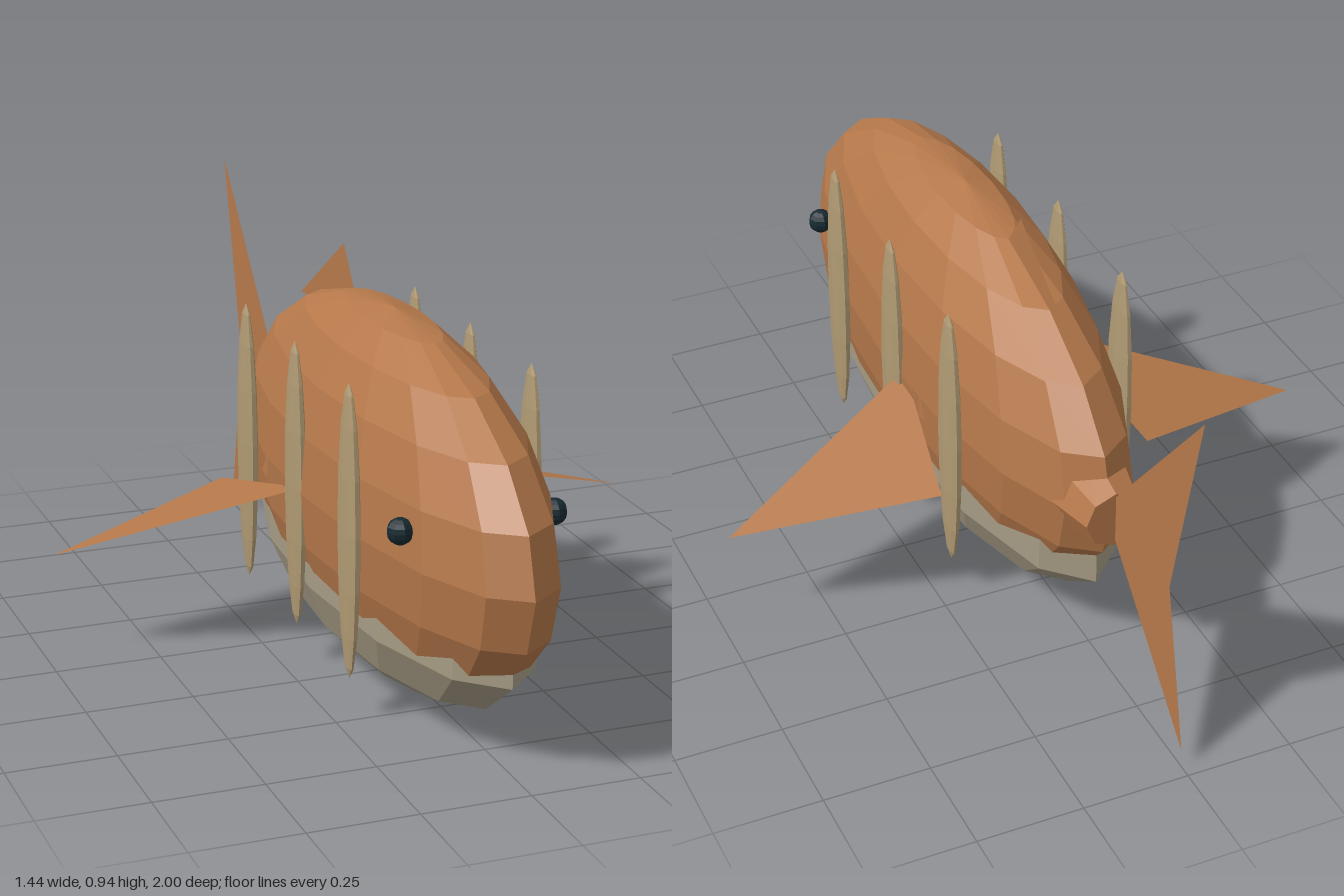
import * as THREE from 'three';

export function createModel() {
  const model = new THREE.Group();
  model.name = 'fish';

  const material = (name, color) => {
    const m = new THREE.MeshStandardMaterial({ color, flatShading: true, side: THREE.DoubleSide });
    m.name = name;
    return m;
  };
  const copper = material('copper skin', 0xb5784a);
  const cream = material('grey belly', 0xa59b84);
  const tan = material('tan stripe', 0xb09a73);
  const dark = material('dark eye', 0x182a32);

  const add = (name, geometry, mat) => {
    const mesh = new THREE.Mesh(geometry, mat);
    mesh.name = name;
    model.add(mesh);
    return mesh;
  };

  // faceted ellipsoid with its poles along y
  const ellipsoid = (name, mat, center, radii, around, rings) => {
    const g = new THREE.SphereGeometry(1, around, rings);
    g.scale(...radii);
    g.translate(...center);
    return add(name, g, mat);
  };

  // thin flat fin: a fan of triangles from the first corner
  const fin = (name, corners) => {
    const g = new THREE.BufferGeometry();
    g.setAttribute('position', new THREE.Float32BufferAttribute(corners.flat(), 3));
    const index = [];
    for (let i = 1; i < corners.length - 1; i++) index.push(0, i, i + 1);
    g.setIndex(index);
    g.computeVertexNormals();
    return add(name, g, copper);
  };

  // body and the belly that pokes out beneath it
  ellipsoid('body', copper, [0, 0.435, 0.2], [0.22, 0.42, 0.8], 16, 10);
  ellipsoid('belly', cream, [0, 0.256, 0.18], [0.2, 0.251, 0.73], 12, 7);

  // tail root and forked tail
  const root = new THREE.CylinderGeometry(0.105, 0.07, 0.14, 8);
  root.rotateX(Math.PI / 2);
  root.translate(0, 0.437, -0.55);
  add('tailRoot', root, copper);
  fin('tailFin', [[0, 0.435, -0.565], [0, 0.94, -1], [0, 0.44, -0.88], [0, 0.05, -0.965]]);

  // back fin
  fin('dorsalFin', [[0, 0.735, 0.02], [0, 0.925, -0.115], [0, 0.735, -0.41]]);

  for (const s of [1, -1]) {
    const side = s > 0 ? 'left' : 'right';

    // swept side fin with a small spur at its root
    fin(side + 'SideFin', [[s * 0.19, 0.425, 0.125], [s * 0.26, 0.335, -0.26], [s * 0.72, 0.25, -0.105]]);
    fin(side + 'FinSpur', [[s * 0.218, 0.465, -0.035], [s * 0.222, 0.41, -0.07], [s * 0.222, 0.4, -0.035]]);

    // three upright stripes
    [0.485, 0.14, -0.2].forEach((z, i) =>
      ellipsoid(side + 'Stripe' + (i + 1), tan, [s * 0.213, 0.44, z], [0.018, 0.34, 0.057], 10, 8));

    ellipsoid(side + 'Eye', dark, [s * 0.177, 0.51, 0.695], [0.03, 0.03, 0.03], 8, 8);
  }
  return model;
}
